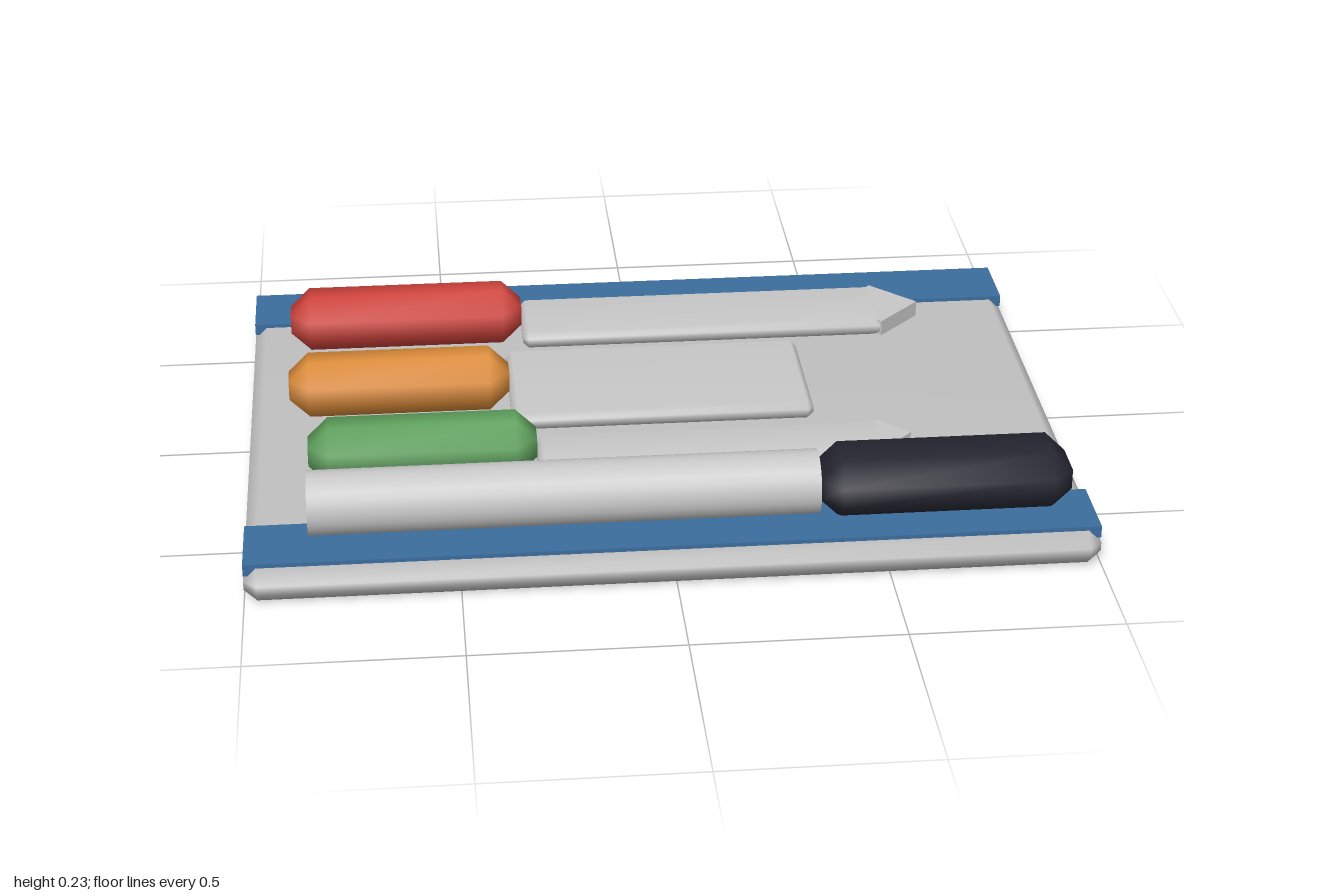
import * as THREE from 'three';
import { ConvexGeometry } from 'three/addons/geometries/ConvexGeometry.js';
import { mergeVertices } from 'three/addons/utils/BufferGeometryUtils.js';

function material(name, color) {
  const m = new THREE.MeshStandardMaterial({ color });
  m.name = name;
  return m;
}

// Box with single-step chamfers on all edges and smooth normals
function chamferBox(w, h, d, c) {
  const points = [];
  for (const x of [-w / 2, w / 2]) for (const y of [-h / 2, h / 2]) for (const z of [-d / 2, d / 2]) {
    const ix = x - Math.sign(x) * c, iy = y - Math.sign(y) * c, iz = z - Math.sign(z) * c;
    points.push(new THREE.Vector3(x, iy, iz), new THREE.Vector3(ix, y, iz), new THREE.Vector3(ix, iy, z));
  }
  const geo = new ConvexGeometry(points);
  geo.deleteAttribute('normal');
  const merged = mergeVertices(geo, 1e-5);
  merged.computeVertexNormals();
  return merged;
}

export function createModel() {
  const model = new THREE.Group();
  model.name = 'toolRoll';
  const grey = material('mat grey', 0xc0c0c0);
  const steel = material('steel', 0xc8c8c8);
  const blue = material('blue', 0x3c6d9e);
  const red = material('red', 0xcc413a);
  const orange = material('orange', 0xd98a38);
  const green = material('green', 0x5c9e5a);
  const black = material('black', 0x242430);

  const add = (parent, name, geo, mat, x, y, z) => {
    const mesh = new THREE.Mesh(geo, mat);
    mesh.name = name;
    mesh.position.set(x, y, z);
    parent.add(mesh);
    return mesh;
  };
  // Chamfered bar given by its x range, y range, z centre and width
  const bar = (parent, name, mat, x0, x1, y0, y1, z, width, c) =>
    add(parent, name, chamferBox(x1 - x0, y1 - y0, width, c), mat, (x0 + x1) / 2, (y0 + y1) / 2, z);

  // Base mat and its two edge strips
  bar(model, 'baseMat', grey, -1, 1, 0, 0.082, 0, 1.5, 0.03);
  for (const s of [-1, 1])
    add(model, s > 0 ? 'frontStrip' : 'backStrip', new THREE.BoxGeometry(2, 0.03, 0.18), blue, 0, 0.077, s * 0.625);

  // Flat-bladed tools: handle range, blade end and width, optional pointed tip
  const tools = [
    { name: 'redTool', mat: red, z: -0.425, x0: -0.9, x1: -0.3, end: 0.65, width: 0.22, tip: 0.64 },
    { name: 'orangeTool', mat: orange, z: -0.05, x0: -0.9, x1: -0.35, end: 0.4, width: 0.37 },
    { name: 'greenTool', mat: green, z: 0.3, x0: -0.85, x1: -0.3, end: 0.55, width: 0.15, tip: 0.54 },
  ];
  for (const t of tools) {
    const tool = new THREE.Group();
    tool.name = t.name;
    model.add(tool);
    bar(tool, 'handle', t.mat, t.x0, t.x1, 0.082, 0.232, t.z, 0.16, 0.05);
    bar(tool, 'blade', steel, t.x1, t.end, 0.096, 0.141, t.z, t.width, 0.015);
    if (t.tip) {
      const r = t.width / 2;
      const diamond = new THREE.CylinderGeometry(r, r, 0.041, 4).toNonIndexed();
      diamond.computeVertexNormals();
      add(tool, 'bladeTip', diamond, steel, t.tip, 0.1185, t.z);
    }
  }

  // Round tool lying on the front strip
  const roundTool = new THREE.Group();
  roundTool.name = 'roundTool';
  model.add(roundTool);
  bar(roundTool, 'handle', black, 0.35, 0.95, 0.082, 0.232, 0.55, 0.2, 0.05);
  const shaft = new THREE.CylinderGeometry(0.077, 0.077, 1.2, 24).rotateZ(Math.PI / 2);
  add(roundTool, 'shaft', shaft, steel, -0.25, 0.155, 0.55);

  return model;
}
